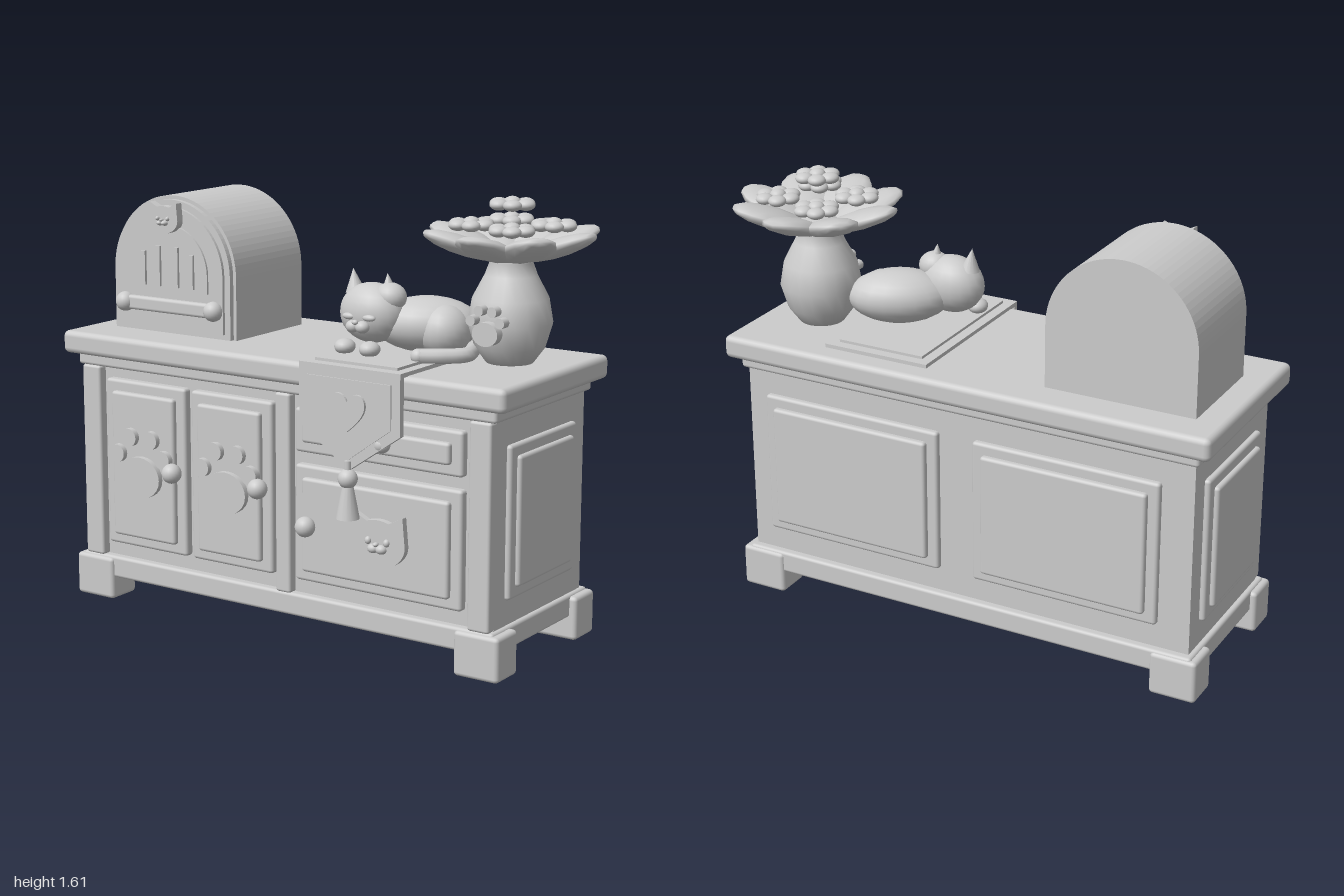
import * as THREE from 'three';
import { RoundedBoxGeometry } from 'three/addons/geometries/RoundedBoxGeometry.js';

const clay = new THREE.MeshStandardMaterial({ color: 0xcccccc });
clay.name = 'plain grey';

function add(parent, name, geo, x = 0, y = 0, z = 0) {
  const m = new THREE.Mesh(geo, clay);
  m.name = name;
  m.position.set(x, y, z);
  parent.add(m);
  return m;
}

function group(parent, name, x = 0, y = 0, z = 0, s = 1) {
  const g = new THREE.Group();
  g.name = name;
  g.position.set(x, y, z);
  g.scale.set(s, s, 1);
  parent.add(g);
  return g;
}

// Box given by its extents, with optional rounded edges
function box(p, name, x0, x1, y0, y1, z0, z1, r = 0) {
  const [w, h, d] = [x1 - x0, y1 - y0, z1 - z0];
  const geo = r ? new RoundedBoxGeometry(w, h, d, 2, r) : new THREE.BoxGeometry(w, h, d);
  return add(p, name, geo, (x0 + x1) / 2, (y0 + y1) / 2, (z0 + z1) / 2);
}

function blob(p, name, x, y, z, rx, ry = rx, rz = rx) {
  const m = add(p, name, new THREE.SphereGeometry(1, 20, 14), x, y, z);
  m.scale.set(rx, ry, rz);
  return m;
}

function plate(p, name, shape, depth, x, y, z, curveSegments = 12) {
  return add(p, name, new THREE.ExtrudeGeometry(shape, { depth, bevelEnabled: false, curveSegments }), x, y, z);
}

function disc(p, name, x, y, z0, z1, rx, ry) {
  const geo = new THREE.CylinderGeometry(1, 1, z1 - z0, 24).rotateX(Math.PI / 2).scale(rx, ry, 1);
  return add(p, name, geo, x, y, (z0 + z1) / 2);
}

// Paw print: one pad and four toes
function paw(p, name, x, y, z, depth, s = 1) {
  const g = group(p, name, x, y, z, s);
  disc(g, 'pad', 0, 0, 0, depth, 0.093, 0.078);
  for (const [tx, ty] of [[-0.107, 0.08], [-0.049, 0.147], [0.049, 0.147], [0.107, 0.08]])
    disc(g, 'toe', tx, ty, 0, depth, 0.034, 0.034);
}

// Flat cat face with raised eyes and muzzle
function catFace(p, name, x, y, z, depth, s = 1) {
  const g = group(p, name, x, y, z, s);
  const sh = new THREE.Shape();
  sh.moveTo(-0.112, 0);
  sh.lineTo(-0.102, 0.105);
  sh.lineTo(-0.045, 0.077);
  sh.quadraticCurveTo(0, 0.092, 0.045, 0.077);
  sh.lineTo(0.102, 0.105);
  sh.lineTo(0.112, 0);
  sh.absellipse(0, 0, 0.112, 0.085, 0, -Math.PI, true);
  plate(g, 'face', sh, depth, 0, 0, 0);
  for (const k of [-1, 1]) {
    blob(g, 'eye', k * 0.038, 0.008, depth, 0.012, 0.014, 0.012);
    blob(g, 'muzzle', k * 0.017, -0.018, depth, 0.021, 0.017, 0.02);
  }
  blob(g, 'nose', 0, 0, depth + 0.01, 0.01, 0.008, 0.012);
}

// Framed panel: a slab with a smaller raised slab; axis gives the facing
function panel(p, name, u0, u1, y0, y1, base, mid, top, axis = 'z', inset = 0.041) {
  const g = group(p, name);
  const layer = (n, i, from, to) => {
    const [a, b] = [Math.min(from, to), Math.max(from, to)];
    if (axis === 'z') box(g, n, u0 + i, u1 - i, y0 + i, y1 - i, a, b, 0.012);
    else box(g, n, a, b, y0 + i, y1 - i, u0 + i, u1 - i, 0.012);
  };
  layer('frame', 0, base, mid);
  layer('raisedField', inset, base, top);
}

function cabinet(p) {
  const g = group(p, 'cabinet');
  box(g, 'countertop', -1, 0.914, 0.942, 1.028, -0.408, 0.338, 0.022);
  box(g, 'cornice', -0.95, 0.866, 0.9, 0.95, -0.37, 0.305, 0.012);
  box(g, 'body', -0.93, 0.85, 0.1, 0.92, -0.343, 0.273);
  box(g, 'plinth', -0.95, 0.866, 0.086, 0.17, -0.373, 0.305, 0.012);
  for (const [a, b] of [[-0.973, -0.797], [0.716, 0.893]])
    for (const [c, d] of [[0.177, 0.317], [-0.381, -0.241]]) box(g, 'foot', a, b, 0, 0.162, c, d, 0.015);
  for (const [a, b] of [[-0.93, -0.845], [-0.037, 0.027], [0.765, 0.85]])
    box(g, 'stile', a, b, 0.168, 0.902, 0.253, 0.309, 0.01);

  // Fronts
  panel(g, 'leftDoor', -0.818, -0.444, 0.226, 0.861, 0.26, 0.305, 0.326);
  panel(g, 'rightDoor', -0.417, -0.053, 0.226, 0.861, 0.26, 0.305, 0.326);
  panel(g, 'smallDrawer', 0.048, 0.738, 0.698, 0.858, 0.26, 0.305, 0.326);
  panel(g, 'largeDrawer', 0.048, 0.738, 0.226, 0.653, 0.26, 0.305, 0.326);
  paw(g, 'doorPaw', -0.631, 0.51, 0.32, 0.027);
  paw(g, 'doorPaw', -0.235, 0.51, 0.32, 0.027);
  catFace(g, 'drawerCatFace', 0.428, 0.43, 0.32, 0.03);
  for (const [x, y] of [[-0.481, 0.547], [-0.091, 0.547], [0.118, 0.44], [0.44, 0.782]])
    blob(g, 'knob', x, y, 0.342, y > 0.7 ? 0.03 : 0.037);

  // Side and back panels
  panel(g, 'leftSidePanel', -0.262, 0.202, 0.262, 0.807, 0.84, 0.868, 0.883, 'x');
  panel(g, 'rightSidePanel', -0.262, 0.202, 0.262, 0.807, -0.92, -0.95, -0.968, 'x');
  for (const x of [-0.45, 0.41]) panel(g, 'backPanel', x - 0.36, x + 0.36, 0.262, 0.807, -0.33, -0.365, -0.386);
}

function archBox(p) {
  const g = group(p, 'archedBox', -0.61, 0, 0);
  const arch = (hw, y0) => {
    const s = new THREE.Shape();
    s.moveTo(-hw, y0);
    s.lineTo(hw, y0);
    s.lineTo(hw, 1.26);
    s.absarc(0, 1.26, hw, 0, Math.PI, false);
    return s;
  };
  plate(g, 'shell', arch(0.283, 1.027), 0.412, 0, 0, -0.27, 20);
  plate(g, 'frontFrame', arch(0.27, 1.03), 0.02, 0, 0, 0.142, 20);
  plate(g, 'frontPlate', arch(0.245, 1.05), 0.012, 0, 0, 0.162, 20);
  plate(g, 'grille', arch(0.18, 1.195), 0.008, 0, 0, 0.174, 20);
  for (const [x, top] of [[-0.112, 1.335], [-0.042, 1.358], [0.042, 1.358], [0.112, 1.335]])
    box(g, 'grilleBar', x - 0.01, x + 0.01, 1.208, top, 0.178, 0.192);
  box(g, 'handleBar', -0.2, 0.2, 1.108, 1.162, 0.165, 0.196, 0.012);
  for (const x of [-0.207, 0.207]) blob(g, 'dial', x, 1.135, 0.182, 0.037);
  catFace(g, 'badge', 0, 1.46, 0.176, 0.032, 0.6);
}

function runner(p) {
  const g = group(p, 'clothRunner', 0.321, 0, 0);
  box(g, 'clothTop', -0.208, 0.208, 1.026, 1.042, -0.323, 0.36);
  box(g, 'clothInlay', -0.17, 0.17, 1.03, 1.052, -0.285, 0.325);
  const flag = (hw, top, side, tip) => new THREE.Shape(
    [[-hw, top], [-hw, side], [0, tip], [hw, side], [hw, top]].map(a => new THREE.Vector2(...a)));
  plate(g, 'hangingFlap', flag(0.208, 1.042, 0.823, 0.68), 0.023, 0, 0, 0.345);
  plate(g, 'flapInlay', flag(0.173, 1.0, 0.842, 0.718), 0.008, 0, 0, 0.365);
  const h = new THREE.Shape();
  h.moveTo(0, -0.07);
  h.bezierCurveTo(-0.05, -0.03, -0.075, 0, -0.073, 0.03);
  h.bezierCurveTo(-0.07, 0.075, -0.015, 0.075, 0, 0.035);
  h.bezierCurveTo(0.015, 0.075, 0.07, 0.075, 0.073, 0.03);
  h.bezierCurveTo(0.075, 0, 0.05, -0.03, 0, -0.07);
  plate(g, 'heart', h, 0.012, 0, 0.888, 0.371);
  add(g, 'tasselCord', new THREE.CylinderGeometry(0.012, 0.012, 0.05, 10), 0, 0.69, 0.374);
  blob(g, 'tasselBead', 0, 0.652, 0.374, 0.035);
  add(g, 'tasselSkirt', new THREE.CylinderGeometry(0.018, 0.042, 0.125, 14), 0, 0.573, 0.374);
}

function cat(p) {
  const g = group(p, 'sleepingCat');
  blob(g, 'body', 0.4, 1.145, -0.01, 0.19, 0.1, 0.12).rotation.y = 0.5;
  blob(g, 'haunch', 0.475, 1.13, 0.0, 0.095, 0.095, 0.1);
  blob(g, 'head', 0.238, 1.185, 0.095, 0.125, 0.107, 0.095);
  add(g, 'ear', new THREE.ConeGeometry(0.036, 0.085, 14), 0.157, 1.293, 0.09).rotation.z = 0.12;
  add(g, 'ear', new THREE.ConeGeometry(0.034, 0.08, 14), 0.3, 1.29, 0.09).rotation.z = 0.1;
  blob(g, 'earPatch', 0.308, 1.245, 0.09, 0.06, 0.052, 0.055);
  for (const k of [-1, 1]) {
    blob(g, 'closedEye', 0.236 + k * 0.042, 1.18, 0.18, 0.026, 0.012, 0.014);
    blob(g, 'muzzle', 0.236 + k * 0.02, 1.147, 0.188, 0.026, 0.022, 0.025);
    blob(g, 'frontPaw', 0.236 + k * 0.052, 1.073, 0.19, 0.037, 0.028, 0.04);
  }
  blob(g, 'nose', 0.236, 1.165, 0.205, 0.012, 0.009, 0.01);
  // Tail curls forward round the haunch
  const path = new THREE.CatmullRomCurve3(
    [[0.58, -0.02], [0.6, 0.06], [0.55, 0.12], [0.475, 0.17]].map(([x, z]) => new THREE.Vector3(x, 1.066, z)));
  add(g, 'tail', new THREE.TubeGeometry(path, 16, 0.027, 10));
  blob(g, 'tailTip', 0.475, 1.066, 0.17, 0.027);
}

function vase(p) {
  const g = group(p, 'flowerVase', 0.688, 0, -0.09);
  const profile = [[0, 1.028], [0.083, 1.028], [0.125, 1.085], [0.15, 1.17], [0.135, 1.255], [0.093, 1.335], [0.076, 1.38], [0.09, 1.42], [0, 1.42]];
  add(g, 'vaseBody', new THREE.LatheGeometry(profile.map(a => new THREE.Vector2(...a)), 20));
  paw(g, 'vasePaw', 0, 1.15, 0.14, 0.036, 0.54);

  // Eight broad tilted petals
  const petal = new THREE.SphereGeometry(1, 10, 7).rotateZ(Math.PI / 2)
    .scale(0.145, 0.034, 0.098).rotateZ(0.34).translate(0.18, 1.443, 0);
  for (let i = 0; i < 8; i++) add(g, 'broadPetal', petal).rotation.y = i * Math.PI / 4 + 0.03;

  // Five small blossoms
  const blossoms = [[0, 1.58, 0], [-0.077, 1.507, -0.132], [0.12, 1.507, -0.08], [-0.127, 1.507, 0.06], [0.068, 1.507, 0.12]];
  for (const [x, y, z] of blossoms) {
    const f = group(g, 'blossom', x, y, z);
    blob(f, 'blossomCentre', 0, 0.006, 0, 0.03, 0.022, 0.03);
    for (let i = 0; i < 6; i++) {
      const a = i * Math.PI / 3;
      blob(f, 'blossomPetal', 0.053 * Math.cos(a), 0, 0.053 * Math.sin(a), 0.033, 0.02, 0.033);
    }
  }
}

export function createModel() {
  const model = new THREE.Group();
  model.name = 'sideboard';
  for (const build of [cabinet, archBox, runner, cat, vase]) build(model);
  return model;
}
